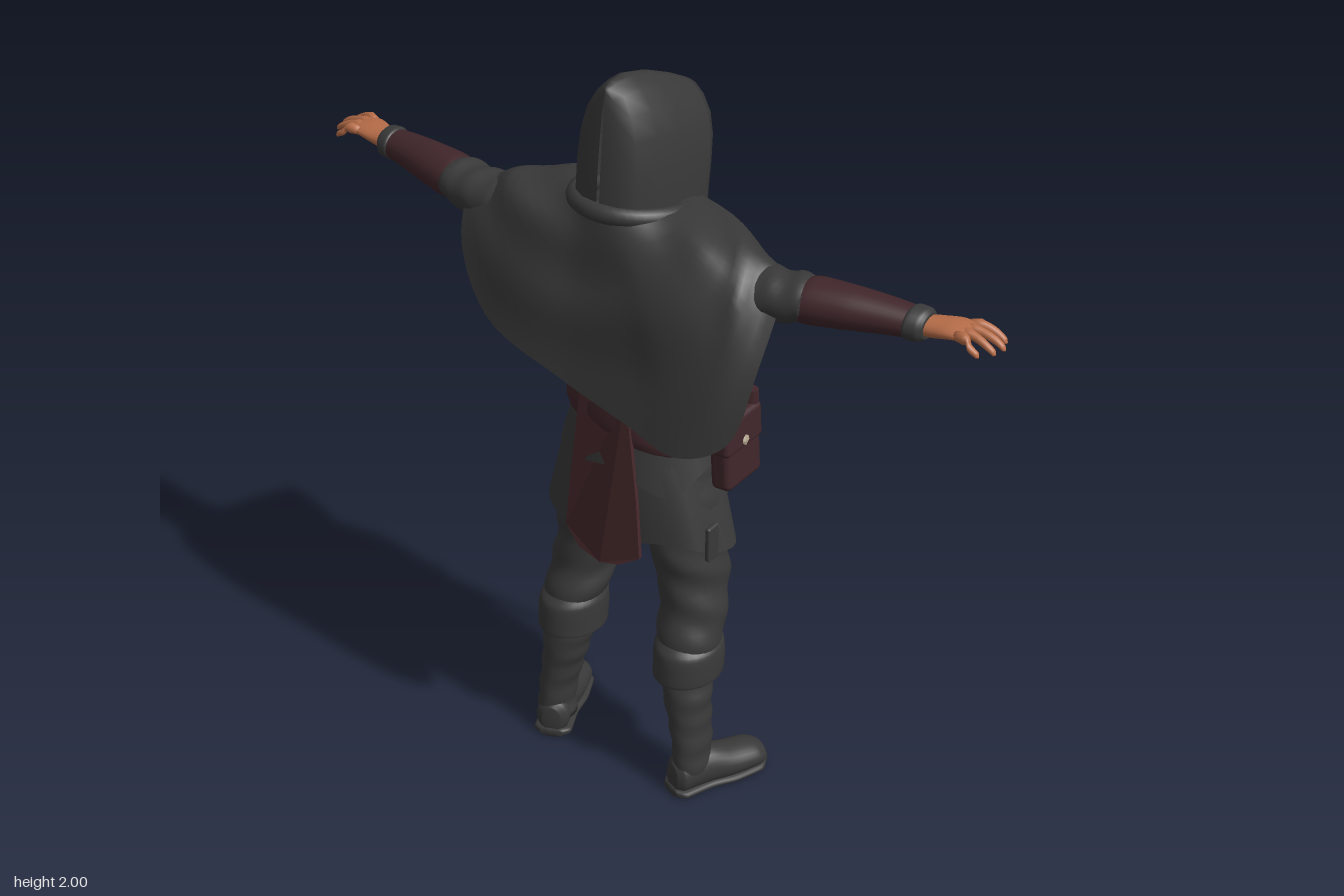
import * as THREE from 'three';
import { RoundedBoxGeometry } from 'three/addons/geometries/RoundedBoxGeometry.js';

const V = (x, y, z) => new THREE.Vector3(x, y, z);
const paint = (name, color) => Object.assign(new THREE.MeshStandardMaterial({ color, side: THREE.DoubleSide }), { name });

// Skin a list of rings (or open strips) of equal length.
function loft(rings, closed = true, capped = true) {
  const n = rings[0].length, m = rings.length, pos = [], idx = [];
  rings.forEach(r => r.forEach(p => pos.push(p.x, p.y, p.z)));
  for (let i = 0; i < m - 1; i++) for (let j = 0; j < (closed ? n : n - 1); j++) {
    const a = i * n + j, b = i * n + (j + 1) % n;
    idx.push(a, a + n, b, b, a + n, b + n);
  }
  if (closed && capped) for (const [row, flip] of [[0, 0], [m - 1, 1]]) {
    const c = rings[row].reduce((s, p) => s.add(p), V(0, 0, 0)).divideScalar(n);
    const k = pos.length / 3;
    pos.push(c.x, c.y, c.z);
    for (let j = 0; j < n; j++) {
      const a = row * n + j, b = row * n + (j + 1) % n;
      flip ? idx.push(k, b, a) : idx.push(k, a, b);
    }
  }
  const g = new THREE.BufferGeometry();
  g.setAttribute('position', new THREE.Float32BufferAttribute(pos, 3));
  g.setIndex(idx);
  g.computeVertexNormals();
  return g;
}

// Smooth limb from rows of [x, y, z, radiusA, radiusB] along an axis.
function limb(axis, rows, { e = 1, capped = true, steps = 5, n = 28, warp } = {}) {
  const c = new THREE.CatmullRomCurve3(rows.map(r => V(r[0], r[1], r[2])));
  const q = new THREE.CatmullRomCurve3(rows.map(r => V(r[3], r[4], 0)));
  const N = (rows.length - 1) * steps, rings = [];
  const pw = v => Math.sign(v) * Math.abs(v) ** e;
  for (let i = 0; i <= N; i++) {
    const p = c.getPoint(i / N), r = q.getPoint(i / N), ring = [];
    for (let j = 0; j < n; j++) {
      const a = j / n * Math.PI * 2, u = pw(Math.cos(a)), v = pw(Math.sin(a));
      const d = axis === 'y' ? V(u * r.x, 0, v * r.y) : axis === 'x' ? V(0, v * r.x, u * r.y) : V(u * r.x, -v * r.y, 0);
      const pt = d.add(p);
      if (warp) warp(pt, a, i / N);
      ring.push(pt);
    }
    rings.push(ring);
  }
  return loft(rings, true, capped);
}

function mirrored(geo) {
  const g = geo.clone().scale(-1, 1, 1), ix = g.index.array;
  for (let i = 0; i < ix.length; i += 3) [ix[i], ix[i + 1]] = [ix[i + 1], ix[i]];
  return g;
}

export function createModel() {
  const cloth = paint('charcoal cloth', 0x393939), brown = paint('dark brown leather', 0x40262a);
  const red = paint('red mask', 0x681c1d), skin = paint('skin', 0xb56c48);
  const cream = paint('cream', 0xb3a78e), metal = paint('dark metal', 0x25282b), panel = paint('maroon panel', 0x48292c);
  const body = new THREE.Group(), model = new THREE.Group();
  body.name = 'hoodedFigure';
  const add = (name, geo, mat, x = 0, y = 0, z = 0) => {
    const m = new THREE.Mesh(geo, mat);
    m.name = name; m.position.set(x, y, z); body.add(m);
    return m;
  };
  const pair = (name, geo, mat) => { add('left' + name, geo, mat); add('right' + name, mirrored(geo), mat); };

  // Torso
  const torso = [[0, 1.18, .05, .15, .145], [0, 1.3, .045, .17, .16], [0, 1.42, .04, .2, .17], [0, 1.52, .03, .21, .16], [0, 1.6, .02, .15, .13], [0, 1.68, .02, .08, .09]];
  add('torso', limb('y', torso, { e: .85, warp: (p, a) => { p.z += .004 * Math.sin(p.y * 70 + p.x * 25); } }), cloth);
  const torsoZ = (x, y) => {
    let i = 0;
    while (i < torso.length - 2 && torso[i + 1][1] < y) i++;
    const A = torso[i], B = torso[i + 1], t = (y - A[1]) / (B[1] - A[1]), L = k => A[k] + (B[k] - A[k]) * t;
    return L(2) + L(4) * Math.max(0, 1 - Math.abs(x / L(3)) ** (2 / .85)) ** .425;
  };

  // Straps hugging the chest
  const strap = (name, mat, x0, y0, x1, y1, w, off) => {
    const d = V(x1 - x0, y1 - y0, 0).normalize(), rings = [];
    for (let i = 0; i <= 14; i++) {
      const x = x0 + (x1 - x0) * i / 14, y = y0 + (y1 - y0) * i / 14;
      rings.push([[-1, 0], [1, 0], [1, 1], [-1, 1]].map(([s, o]) => {
        const px = x - d.y * w * s / 2, py = y + d.x * w * s / 2;
        return V(px, py, torsoZ(px, py) + (o ? off : -.01));
      }));
    }
    const g = loft(rings).toNonIndexed();
    g.computeVertexNormals();
    add(name, g, mat);
  };
  strap('chestWrap', brown, -.06, 1.5, .07, 1.4, .1, .007);
  strap('crossStrap', metal, -.15, 1.47, .15, 1.3, .03, .014);
  strap('brownBaldric', brown, -.15, 1.29, .1, 1.53, .06, .02);
  strap('creamBaldric', cream, -.13, 1.26, .12, 1.49, .042, .032);
  strap('baldricEnd', cream, -.145, 1.27, -.095, 1.25, .05, .036);

  // Belt, sash and tunic skirt
  add('skirt', limb('y', [[0, .75, .045, .262, .15], [0, .85, .045, .235, .152], [0, .95, .045, .205, .152], [0, 1.06, .05, .175, .15], [0, 1.16, .05, .16, .15]],
    { capped: false, e: .85, n: 48, warp: (p, a, t) => { const k = 1 - t; p.x *= 1 + .03 * k * Math.sin(7 * a); p.y += .025 * k * Math.sin(3 * a + 2); } }), cloth);
  add('hipLayer', limb('y', [[0, .94, .045, .216, .158], [0, 1.04, .05, .188, .157], [0, 1.16, .05, .165, .155]],
    { capped: false, e: .85, warp: (p, a, t) => { p.y += .03 * (1 - t) * Math.cos(4 * a); } }), cloth);
  add('sash', limb('y', [[0, 1.035, .05, .19, .158], [0, 1.06, .05, .192, .164], [0, 1.13, .05, .175, .163], [0, 1.16, .05, .165, .156]],
    { e: .85, warp: p => { p.y += p.x * .2 + (p.z - .05) * -.15; } }), brown);
  add('belt', limb('y', [[0, 1.14, .05, .164, .158], [0, 1.155, .05, .172, .166], [0, 1.2, .05, .168, .164], [0, 1.235, .05, .158, .152]], { e: .85 }), brown);
  const buckle = add('buckle', new THREE.CylinderGeometry(.045, .045, .025, 8), metal, 0, 1.165, .225);
  buckle.rotation.x = Math.PI / 2;
  add('beltStud', new THREE.SphereGeometry(.013, 12, 8), cream, -.01, 1.245, .205);

  // Front and back hanging panels
  const panelShape = new THREE.Shape([[-.065, 1.2], [-.095, .9], [-.105, .725], [-.05, .69], [.01, .675], [.08, .69], [.13, .735], [.11, .9], [.07, 1.2]].map(p => new THREE.Vector2(...p)));
  for (const [name, z, slope] of [['frontPanel', .212, .07], ['backPanel', -.117, -.01]]) {
    const g = new THREE.ExtrudeGeometry(panelShape, { depth: .012, bevelEnabled: false }), p = g.attributes.position;
    for (let i = 0; i < p.count; i++) p.setZ(i, p.getZ(i) + z + (1.2 - p.getY(i)) * slope - (z > 0 ? 1 : -1) * p.getX(i) ** 2);
    g.computeVertexNormals();
    add(name, g, panel);
  }

  // Pouches on the right hip
  add('satchel', new RoundedBoxGeometry(.06, .19, .15, 3, .018), brown, -.24, 1.0, .11).rotation.z = -.06;
  add('satchelFlap', new RoundedBoxGeometry(.068, .1, .158, 3, .015), brown, -.236, 1.055, .11).rotation.z = -.06;
  add('satchelBadge', new THREE.IcosahedronGeometry(.018, 0), cream, -.268, 1.03, .11).scale.x = .5;
  add('vial', new THREE.CylinderGeometry(.018, .02, .1, 12), brown, -.245, 1.09, .17);
  add('smallPouch', new RoundedBoxGeometry(.075, .09, .06, 3, .018), brown, -.15, 1.1, .18).rotation.y = -.5;
  add('hipTab', new RoundedBoxGeometry(.015, .1, .045, 2, .006), cloth, -.25, .775, .0);

  // Legs, knee cuffs and boots
  pair('Trouser', limb('y', [[.185, .42, 0, .075, .085], [.18, .5, .02, .086, .092], [.168, .58, .045, .086, .098], [.148, .7, .05, .095, .112], [.128, .85, .05, .1, .12], [.1, 1, .05, .095, .12]],
    { warp: (p, a) => { p.x += .004 * Math.sin(p.y * 60 + a * 2); p.z += .004 * Math.cos(p.y * 50 + a); } }), cloth);
  pair('KneeCuff', limb('y', [[.185, .345, -.005, .07, .085], [.187, .355, -.005, .087, .103], [.187, .4, -.002, .088, .104], [.185, .44, 0, .086, .1], [.18, .465, .01, .072, .088]]), cloth);
  pair('BootShaft', limb('y', [[.22, .05, -.04, .05, .056], [.222, .12, -.032, .046, .062], [.208, .22, -.025, .054, .064], [.195, .3, -.02, .064, .067], [.185, .37, 0, .067, .075]],
    { warp: p => { p.x += .003 * Math.sin(p.y * 90); } }), cloth);
  const foot = limb('z', [[0, .05, -.075, .025, .04], [0, .055, -.055, .046, .055], [0, .058, .02, .048, .058], [0, .046, .1, .056, .046], [0, .04, .17, .054, .038], [0, .034, .2, .038, .028], [0, .032, .21, .012, .014]],
    { warp: p => { p.y = Math.max(p.y, .012); } });
  const sole = limb('z', [[0, .012, -.08, .03, .012], [0, .012, -.055, .052, .012], [0, .012, .02, .05, .012], [0, .012, .1, .061, .012], [0, .012, .175, .058, .012], [0, .012, .215, .02, .012]], { e: .7 });
  for (const [name, g] of [['Foot', foot], ['Sole', sole]]) pair(name, g.rotateY(.4).translate(.23, 0, -.025), cloth);

  // Arms
  pair('Sleeve', limb('x', [[.1, 1.5, 0, .1, .11], [.22, 1.52, -.015, .105, .105], [.34, 1.545, -.028, .08, .085], [.43, 1.56, -.027, .064, .072], [.49, 1.568, -.02, .058, .07], [.53, 1.57, -.016, .052, .064]],
    { warp: p => { p.y += .004 * Math.sin(p.x * 80 + p.z * 30); } }), cloth);
  pair('Bracer', limb('x', [[.5, 1.57, -.018, .05, .058], [.53, 1.572, -.014, .056, .066], [.62, 1.575, .002, .051, .06], [.7, 1.575, .02, .043, .052], [.77, 1.573, .034, .036, .044]]), brown);
  pair('Wristband', limb('x', [[.755, 1.573, .032, .036, .044], [.765, 1.573, .034, .042, .05], [.79, 1.572, .038, .04, .047], [.802, 1.572, .04, .03, .036]]), cloth);
  pair('Palm', limb('x', [[.78, 1.571, .037, .024, .03], [.82, 1.573, .048, .024, .038], [.86, 1.578, .056, .02, .045], [.895, 1.58, .058, .013, .043], [.905, 1.58, .058, .005, .035]]), skin);
  for (let k = 0; k < 4; k++) {
    const z = .025 + k * .022, t = z + (k - 1.5) * .009, L = [.945, .97, .978, .965][k];
    pair('Finger' + (k + 1), limb('x', [[.875, 1.58, z, .011, .011], [.91, 1.582, (z + t) / 2, .011, .011], [L - .025, 1.57, t, .01, .01], [L - .005, 1.558, t, .008, .008], [L, 1.554, t, .002, .002]], { n: 12, steps: 3 }), skin);
  }
  pair('Thumb', limb('x', [[.81, 1.565, .065, .018, .015], [.84, 1.555, .092, .015, .015], [.865, 1.538, .114, .012, .012], [.885, 1.527, .126, .01, .01], [.895, 1.523, .13, .002, .002]], { n: 12, steps: 3 }), skin);

  // Shoulder cape: neck, shoulder and hem rings, longer over the right back
  const hem = [[0, 1.575, .165], [.12, 1.545, .195], [.25, 1.5, .15], [.38, 1.53, .085], [.45, 1.6, -.01], [.42, 1.5, -.13], [.3, 1.33, -.19], [.05, 1.25, -.215], [-.15, 1.21, -.235], [-.3, 1.17, -.235], [-.42, 1.23, -.2], [-.465, 1.43, -.14], [-.46, 1.61, -.02], [-.38, 1.53, .085], [-.25, 1.5, .15], [-.12, 1.545, .195]];
  const mid = [[0, 1.61, .15], [.1, 1.615, .165], [.2, 1.625, .125], [.29, 1.64, .07], [.32, 1.65, -.02], [.28, 1.63, -.11], [.18, 1.57, -.16], [.05, 1.5, -.17], [-.1, 1.49, -.185], [-.22, 1.48, -.2], [-.33, 1.52, -.18], [-.36, 1.62, -.12], [-.32, 1.665, -.02], [-.28, 1.645, .07], [-.2, 1.63, .125], [-.1, 1.615, .165]];
  const neck = mid.map((_, i) => { const a = i / 16 * Math.PI * 2; return [.125 * Math.sin(a), 1.685 - .02 * Math.cos(a), .01 + .135 * Math.cos(a)]; });
  const [hc, mc, nc] = [hem, mid, neck].map(r => new THREE.CatmullRomCurve3(r.map(p => V(...p)), true));
  const capeRings = [];
  for (let i = 0; i <= 14; i++) {
    const ring = [];
    for (let j = 0; j < 96; j++) {
      const u = j / 96, t = i / 14;
      const p = new THREE.CatmullRomCurve3([nc.getPoint(u), mc.getPoint(u), hc.getPoint(u)]).getPoint(t);
      const fold = .007 * Math.sin(t * Math.PI) * Math.sin(t * 14 + u * 25);
      ring.push(p.add(V(0, fold, -fold * .7)));
    }
    capeRings.push(ring);
  }
  add('cape', loft(capeRings.reverse(), true, false), cloth);
  // Rolled collar
  const collar = neck.map(p => V(p[0] * 1.08, p[1] - .02 - Math.max(0, p[2]) * .25, p[2] * 1.05));
  add('collarRoll', new THREE.TubeGeometry(new THREE.CatmullRomCurve3(collar, true), 48, .024, 10, true), cloth);

  // Face mask and neck scarf
  add('faceMask', new THREE.SphereGeometry(1, 32, 20), red, 0, 1.72, .1).scale.set(.09, .14, .095);
  add('neckScarf', new THREE.SphereGeometry(1, 24, 16), red, 0, 1.605, .095).scale.set(.085, .085, .108);
  add('noseRidge', new THREE.SphereGeometry(1, 12, 10), red, 0, 1.73, .18).scale.set(.018, .05, .02);

  // Hood: pointed arches swept from the back seam to the rim and turned inward
  // rows: apex z, apex y, base z, base y, half width
  const arch = [[1, 0], [1, .2], [.97, .42], [.88, .64], [.7, .8], [.42, .92], [.14, .985]];
  const full = [...arch.map(p => [-p[0], p[1]]), [0, 1], ...arch.slice().reverse()];
  const hoodRows = [[-.1, 1.985, -.135, 1.63, .004], [-.095, 1.99, -.128, 1.63, .05], [-.075, 1.997, -.1, 1.63, .09], [-.02, 1.998, -.04, 1.63, .115], [.06, 1.975, .04, 1.625, .122], [.15, 1.935, .11, 1.615, .118], [.215, 1.9, .15, 1.605, .113], [.243, 1.883, .165, 1.6, .106], [.236, 1.868, .162, 1.605, .094], [.17, 1.87, .1, 1.61, .09]];
  const hood = hoodRows.map(([tz, ty, bz, by, w]) => full.map(([x, h]) => V(x * w, by + (ty - by) * h, bz + (tz - bz) * h ** 1.6)));
  add('hood', loft(hood, false), cloth);

  // Cream clasps on the chest and cape
  for (const [x, y, z, r] of [[-.13, 1.55, .195, .02], [-.1, 1.46, .2, .017], [-.1, 1.55, .205, .012]])
    add('clasp', new THREE.TetrahedronGeometry(r, 1), cream, x, y, z).scale.z = .6;

  // The figure faces +x
  body.rotation.y = Math.PI / 2;
  model.add(body);
  return model;
}
